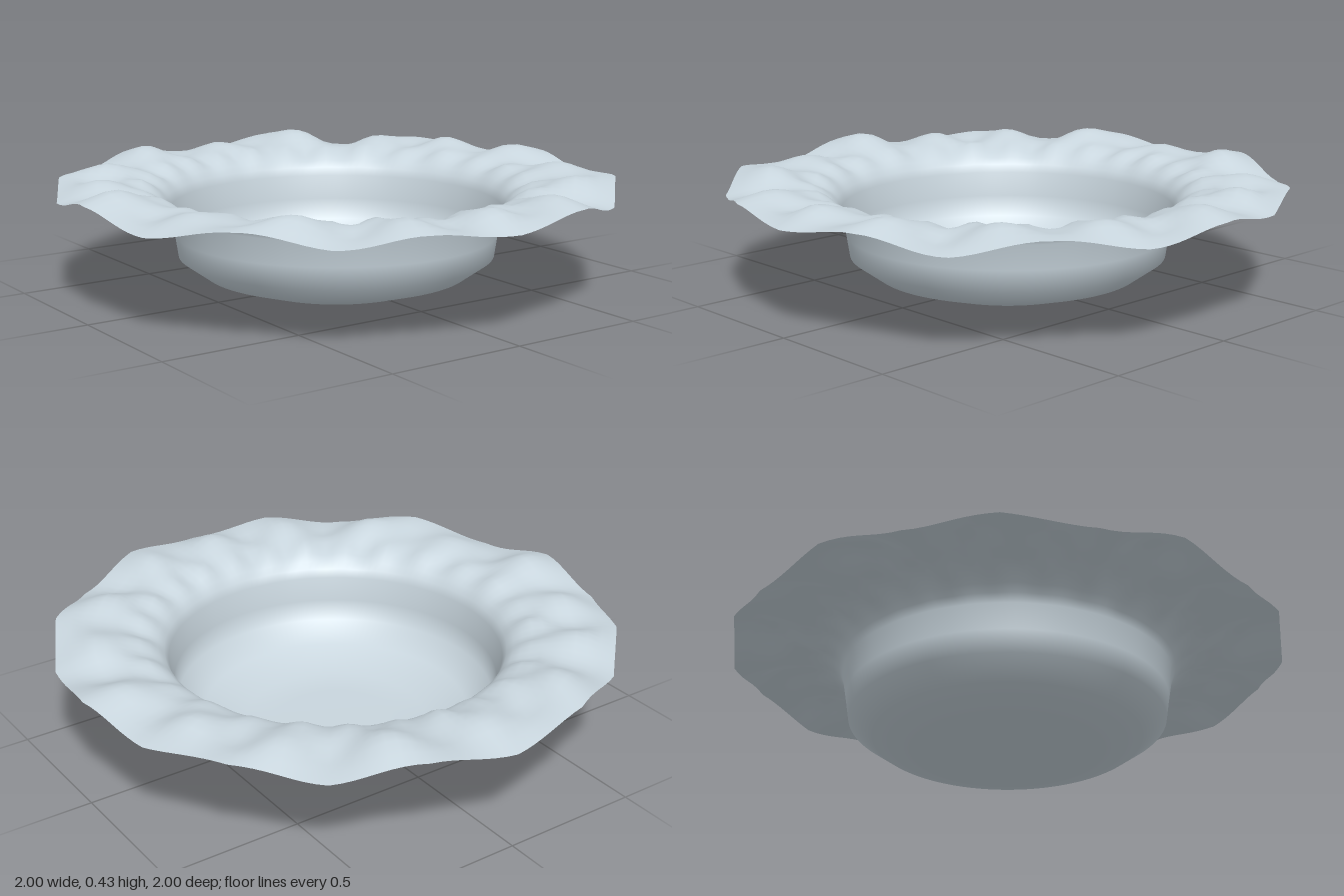
import * as THREE from 'three';
import { mergeVertices } from 'three/addons/utils/BufferGeometryUtils.js';

const SIDES = 20;        // corners of the outline
const SEGMENTS = 160;    // divisions around, so the ruffles stay smooth

const glaze = new THREE.MeshStandardMaterial({ color: 0xc8d5dd, side: THREE.DoubleSide });
glaze.name = 'pale blue grey';

// Profile as [radius, height] pairs
const bowlProfile = [[0, 0.005], [0.2, 0.005], [0.33, 0.008], [0.48, 0.055], [0.57, 0.12],
  [0.582, 0.2], [0.597, 0.29], [0.612, 0.32], [0.635, 0.343], [0.665, 0.362], [0.7, 0.376],
  [0.74, 0.386], [0.78, 0.393], [0.82, 0.397], [0.86, 0.398], [0.9, 0.395], [0.95, 0.387], [1, 0.375]];

// Factor that turns a circle into a regular polygon with a corner at angle 0
function polygonFactor(angle) {
  const step = (2 * Math.PI) / SIDES;
  const local = ((angle % step) + step) % step;
  return Math.cos(step / 2) / Math.cos(local - step / 2);
}

// A smooth hump of height 1 at the given radius
const band = (radius, centre, width) => Math.exp(-(((radius - centre) / width) ** 2));

// Height of the ruffles: lumps by the wall, a wavy crest, corners in turn low and high at the edge
function ruffle(angle, radius) {
  const lumps = 0.011 * Math.cos(27 * angle + 1.2 * Math.sin(2 * angle)) + 0.005 * Math.sin(11 * angle);
  const crest = 0.024 * Math.cos(16 * angle + 0.5 * Math.sin(3 * angle))
    + 0.008 * Math.sin(7 * angle + 1);
  const edge = -0.021 * Math.cos(10 * angle) + 0.006 * Math.sin(7 * angle + 1);
  return lumps * band(radius, 0.7, 0.055)
    + crest * band(radius, 0.86, 0.09)
    + edge * THREE.MathUtils.smoothstep(radius, 0.76, 1);
}

export function createModel() {
  const group = new THREE.Group();
  group.name = 'ruffledBowl';

  let geometry = new THREE.LatheGeometry(bowlProfile.map(([r, y]) => new THREE.Vector2(r, y)), SEGMENTS);
  const position = geometry.attributes.position;
  for (let i = 0; i < position.count; i++) {
    const x = position.getX(i), z = position.getZ(i);
    const radius = Math.hypot(x, z);
    const angle = Math.atan2(x, z);
    // The outline is faceted towards the edge, the well is round
    const k = THREE.MathUtils.lerp(1, polygonFactor(angle), THREE.MathUtils.smoothstep(radius, 0.55, 0.9));
    position.setXYZ(i, x * k, position.getY(i) + ruffle(angle, radius), z * k);
  }

  // Weld the seam so the shading is continuous
  geometry.deleteAttribute('uv');
  geometry.deleteAttribute('normal');
  geometry = mergeVertices(geometry, 1e-4);
  geometry.computeVertexNormals();

  const bowl = new THREE.Mesh(geometry, glaze);
  bowl.name = 'bowlWithRuffledRim';
  bowl.position.y = -0.005;
  group.add(bowl);
  return group;
}
